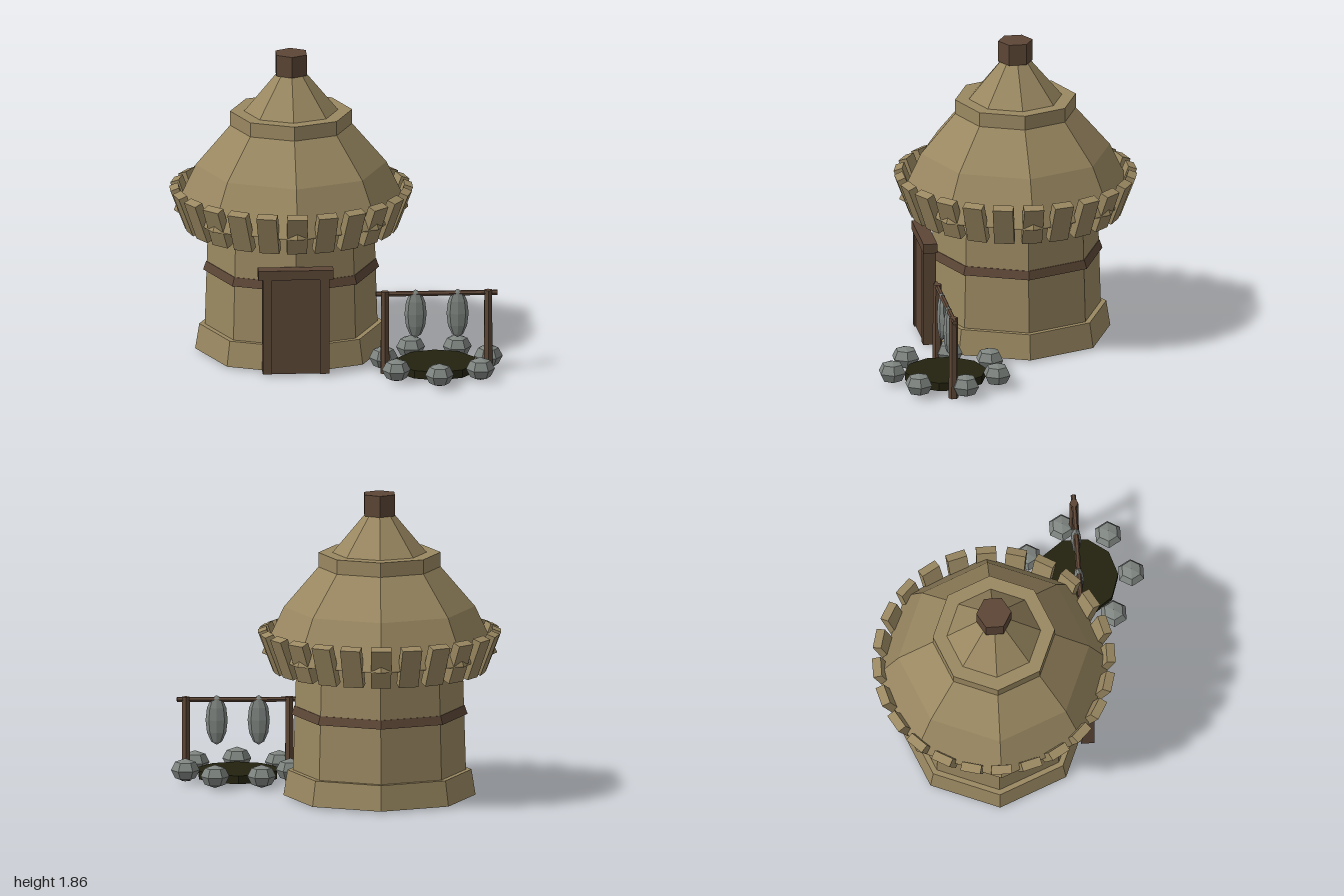
import * as THREE from 'three';

export function createModel() {
  const root = new THREE.Group();
  root.name = 'hutWithPond';

  const mat = (name, color) => {
    const m = new THREE.MeshStandardMaterial({ color, flatShading: true });
    m.name = name;
    return m;
  };
  const straw = mat('straw', 0x9a8861);
  const wood = mat('wood', 0x5c4636);
  const stone = mat('stone', 0x7f8581);
  const water = mat('murkyWater', 0x23220f);

  const add = (parent, name, geometry, material, x = 0, y = 0, z = 0) => {
    const mesh = new THREE.Mesh(geometry, material);
    mesh.name = name;
    mesh.position.set(x, y, z);
    parent.add(mesh);
    return mesh;
  };
  // Faceted solid of revolution, profile listed from bottom to top
  const turned = (profile, sides = 8) =>
    new THREE.LatheGeometry(profile.map(([r, y]) => new THREE.Vector2(r, y)), sides);

  // Hut: octagonal, one corner facing forward
  const hut = new THREE.Group();
  hut.name = 'hut';
  hut.position.set(-0.26, 0, -0.115);
  root.add(hut);

  add(hut, 'base', turned([[0, 0.01], [0.58, 0.01], [0.555, 0.165], [0.5, 0.165]]), straw);
  add(hut, 'wall', turned([[0.522, 0.16], [0.5, 0.89]]), straw);
  add(hut, 'wallBand', turned([[0.49, 0.505], [0.532, 0.505], [0.514, 0.557], [0.49, 0.557]]), wood);
  add(hut, 'lowerRoof', turned([[0.48, 0.88], [0.708, 0.88], [0.708, 0.888], [0.577, 1.165], [0.368, 1.41]]), straw);
  add(hut, 'roofCollar', turned([[0.34, 1.405], [0.369, 1.405], [0.369, 1.497], [0.27, 1.497]]), straw);
  add(hut, 'upperRoof', turned([[0.29, 1.49], [0.09, 1.73], [0, 1.73]]), straw);
  add(hut, 'roofCap', new THREE.CylinderGeometry(0.106, 0.106, 0.13, 6), wood, 0, 1.793, 0);

  // Ring of outward leaning boards around the eaves
  const boards = new THREE.Group();
  boards.name = 'eavesBoards';
  hut.add(boards);
  const boardGeometry = new THREE.BoxGeometry(0.122, 0.255, 0.055);
  for (let i = 0; i < 24; i++) {
    const a = (i / 24) * Math.PI * 2;
    const board = add(boards, 'eavesBoard', boardGeometry, straw, Math.sin(a) * 0.662, 0.907, Math.cos(a) * 0.662);
    board.rotation.set(0.363, a, 0, 'YXZ');
  }

  // Door with frame
  const door = new THREE.Group();
  door.name = 'door';
  door.position.set(-0.263, 0, 0.44);
  root.add(door);
  add(door, 'doorPanel', new THREE.BoxGeometry(0.3, 0.595, 0.06), wood, 0, 0.3075, 0);
  for (const s of [-1, 1]) {
    add(door, 'doorPost', new THREE.BoxGeometry(0.055, 0.595, 0.08), wood, s * 0.173, 0.3075, 0);
  }
  add(door, 'lintel', new THREE.BoxGeometry(0.455, 0.058, 0.085), wood, 0, 0.631, 0);

  // Pond ringed by seven stones
  const pond = new THREE.Group();
  pond.name = 'pond';
  pond.position.set(0.588, 0, 0.447);
  root.add(pond);
  add(pond, 'pondWater', new THREE.CylinderGeometry(0.247, 0.247, 0.05, 10), water, 0, 0.045, 0);
  for (let i = 0; i < 7; i++) {
    const a = (i / 7) * Math.PI * 2;
    const rock = add(pond, 'pondStone', new THREE.SphereGeometry(1, 6, 4), stone,
      Math.sin(a) * 0.325, 0.077, Math.cos(a) * 0.325);
    rock.scale.set(0.087, 0.071, 0.087);
  }

  // Drying rack over the pond
  const rack = new THREE.Group();
  rack.name = 'dryingRack';
  rack.position.set(0.588, 0, 0.447);
  root.add(rack);
  for (const s of [-1, 1]) {
    add(rack, 'rackPost', new THREE.CylinderGeometry(0.026, 0.03, 0.512, 6), wood, s * 0.312, 0.256, 0);
    const catchItem = add(rack, 'hangingCatch', new THREE.SphereGeometry(1, 8, 6), stone, s * 0.127, 0.37, 0);
    catchItem.scale.set(0.067, 0.152, 0.032);
  }
  const bar = add(rack, 'rackBar', new THREE.CylinderGeometry(0.016, 0.016, 0.735, 6), wood, 0, 0.496, 0);
  bar.rotation.z = Math.PI / 2;

  return root;
}
